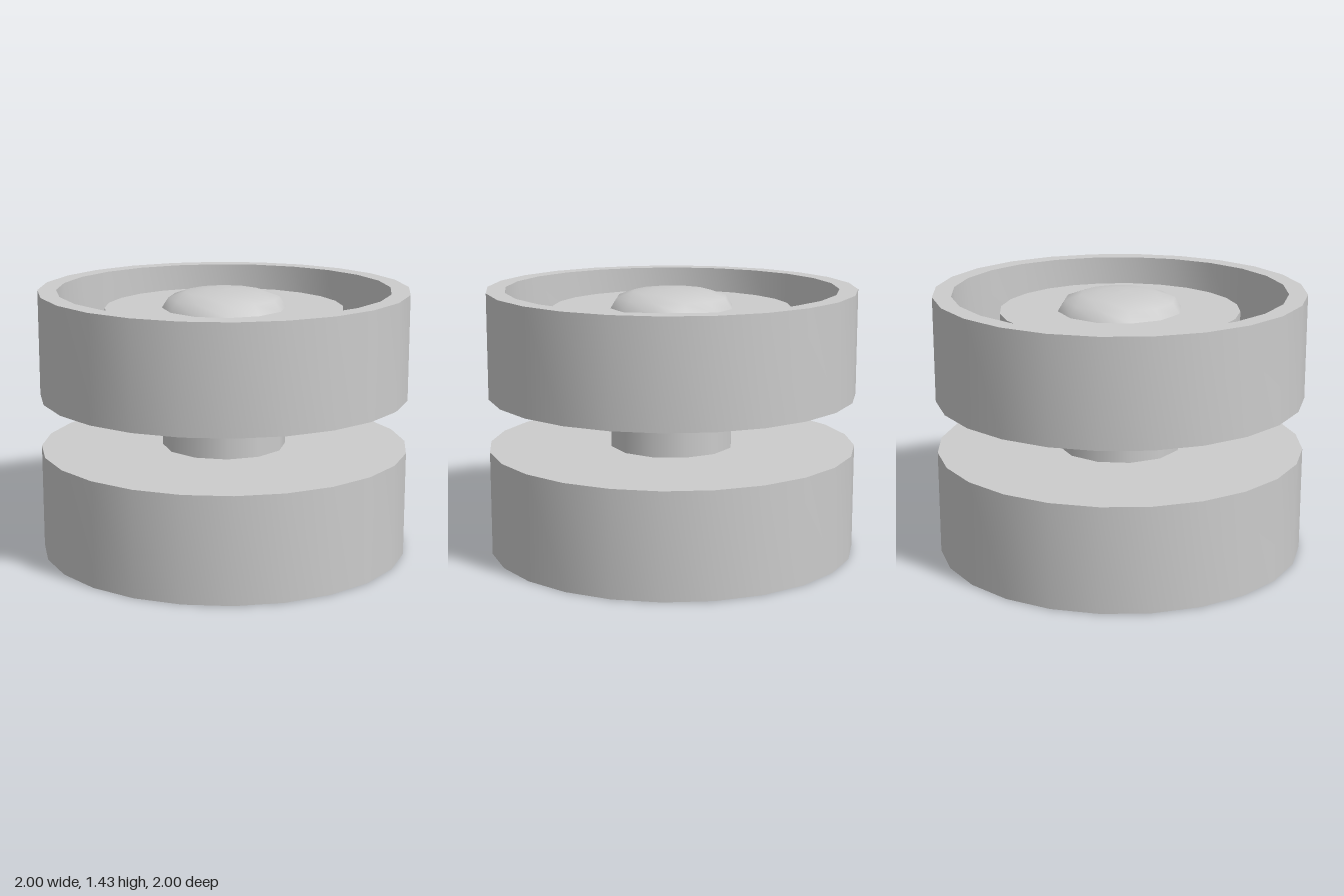
import * as THREE from 'three';
import { toCreasedNormals } from 'three/addons/utils/BufferGeometryUtils.js';

const material = new THREE.MeshStandardMaterial({ color: 0xcccccc });

function addMesh(group, name, geometry) {
  const mesh = new THREE.Mesh(geometry, material);
  mesh.name = name;
  group.add(mesh);
}

// Lathe a list of [radius, height] points, listed upwards along the outside.
function turn(profile, sides, start = 0) {
  const points = profile.map(([r, y]) => new THREE.Vector2(r, y));
  return new THREE.LatheGeometry(points, sides, start);
}

export function createModel() {
  const group = new THREE.Group();
  const sides = 24;
  const halfStep = Math.PI / 12; // the 12-sided shaft sits flat to the front

  // Solid lower disc
  const lower = turn([[0, 0], [1, 0], [1, 0.57], [0, 0.57]], sides);
  addMesh(group, 'lowerDisc', toCreasedNormals(lower, 0.7));

  // Upper disc with a raised rim, a deep groove and a raised hub
  const upper = turn([
    [0, 0.86], [1, 0.86], [1, 1.43], [0.9, 1.43],
    [0.9, 1.04], [0.645, 1.04], [0.645, 1.33], [0, 1.33],
  ], sides);
  addMesh(group, 'upperDisc', toCreasedNormals(upper, 0.7));

  // Shaft joining the discs
  const shaft = new THREE.CylinderGeometry(0.336, 0.336, 0.29, 12, 1, true, halfStep);
  shaft.translate(0, 0.715, 0);
  addMesh(group, 'shaft', shaft);

  // Low rounded cap on the hub
  const cap = turn([[0.336, 1.33], [0.3, 1.385], [0.21, 1.416], [0.1, 1.427], [0, 1.43]], 12, halfStep);
  addMesh(group, 'hubCap', cap);

  return group;
}
